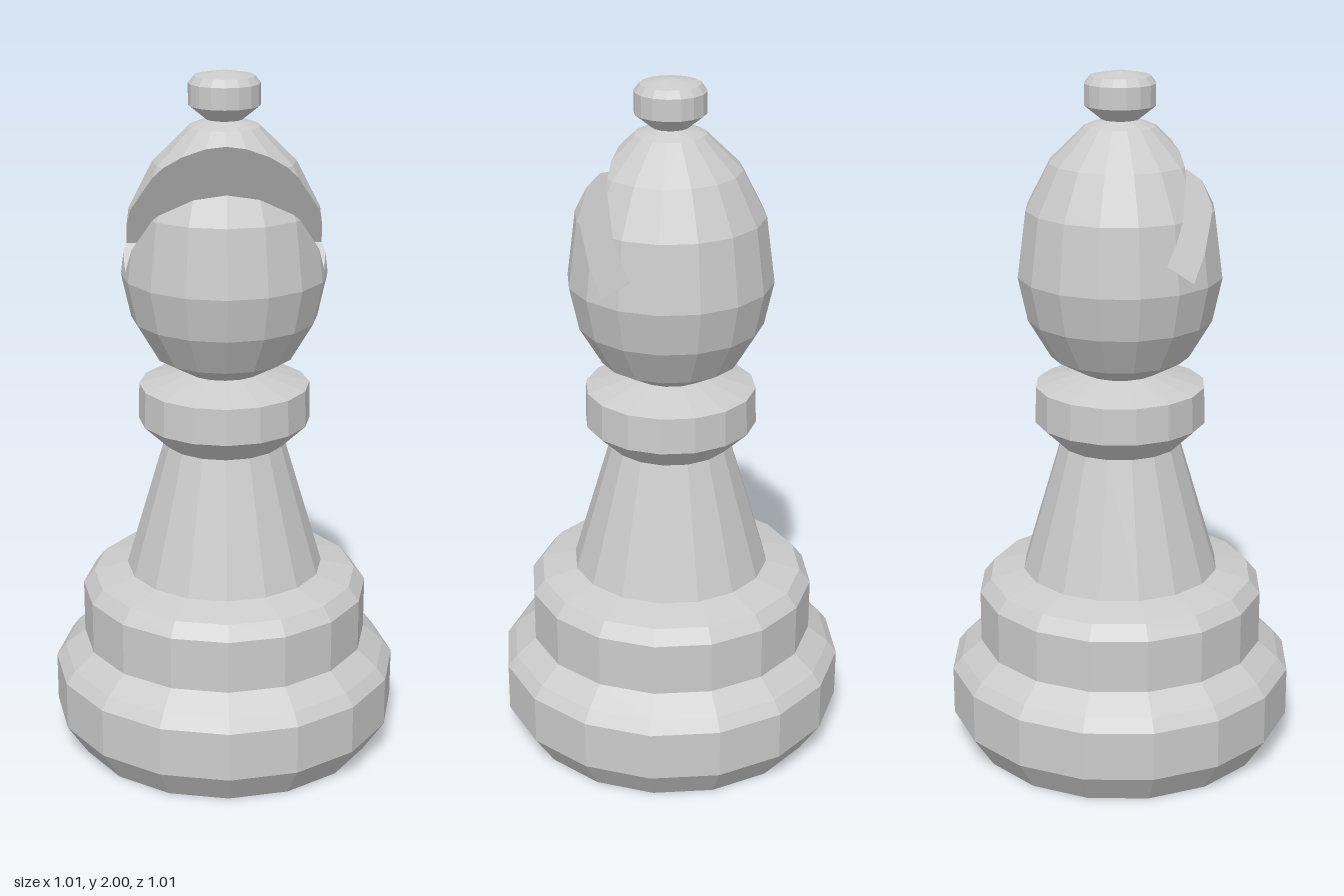
import * as THREE from 'three';

const SIDES = 16;
const material = new THREE.MeshStandardMaterial({ color: 0xcccccc, flatShading: true });

function addMesh(group, name, geometry) {
  const mesh = new THREE.Mesh(geometry, material);
  mesh.name = name;
  group.add(mesh);
}

// Turned part from [radius, height] pairs, bottom to top
function turned(profile) {
  return new THREE.LatheGeometry(profile.map(([r, y]) => new THREE.Vector2(r, y)), SIDES);
}

// Keep the part of a polygon in front of a plane
function clip(polygon, plane) {
  const out = [];
  polygon.forEach((a, i) => {
    const b = polygon[(i + 1) % polygon.length];
    const da = plane.distanceToPoint(a), db = plane.distanceToPoint(b);
    if (da >= 0) out.push(a);
    if ((da >= 0) !== (db >= 0)) out.push(a.clone().lerp(b, da / (da - db)));
  });
  return out;
}

function polygonsToGeometry(polygons) {
  const positions = [];
  for (const p of polygons) {
    for (let i = 1; i + 1 < p.length; i++) {
      for (const v of [p[0], p[i], p[i + 1]]) positions.push(v.x, v.y, v.z);
    }
  }
  const geometry = new THREE.BufferGeometry();
  geometry.setAttribute('position', new THREE.Float32BufferAttribute(positions, 3));
  geometry.computeVertexNormals();
  return geometry;
}

// Egg-shaped head with a slanted slot cut across its front
function slottedHead(profile) {
  const point = ([r, y], i) => {
    const a = (i / SIDES) * Math.PI * 2;
    return new THREE.Vector3(r * Math.sin(a), y, r * Math.cos(a));
  };
  const faces = [];
  for (let k = 0; k + 1 < profile.length; k++) {
    for (let i = 0; i < SIDES; i++) {
      faces.push([point(profile[k], i), point(profile[k], i + 1),
        point(profile[k + 1], i + 1), point(profile[k + 1], i)]);
    }
  }
  const inside = faces.map(([a, b, c]) => new THREE.Plane().setFromCoplanarPoints(a, b, c).negate());

  // Slot outline in [z, y]: down the front wall, across the floor, up the back wall
  const outline = [[0.376, 1.93], [0.058, 1.45], [-0.03, 1.51], [0.284, 2.09]];
  const walls = [], solidSides = [];
  for (let i = 0; i < 3; i++) {
    const [z0, y0] = outline[i], [z1, y1] = outline[i + 1];
    const quad = [[-0.5, y0, z0], [0.5, y0, z0], [0.5, y1, z1], [-0.5, y1, z1]]
      .map((p) => new THREE.Vector3(...p));
    solidSides.push(new THREE.Plane().setFromCoplanarPoints(quad[0], quad[1], quad[2]).negate());
    walls.push(inside.reduce(clip, quad));
  }

  // Outer skin: everything that lies behind at least one slot wall
  const skin = [];
  for (const face of faces) {
    let rest = face;
    for (const side of solidSides) {
      skin.push(clip(rest, side));
      rest = clip(rest, side.clone().negate());
    }
  }
  return polygonsToGeometry([...skin, ...walls]);
}

export function createModel() {
  const model = new THREE.Group();
  model.name = 'bishop';

  addMesh(model, 'base', turned([
    [0, 0], [0.445, 0], [0.507, 0.095], [0.507, 0.24], [0.48, 0.275], [0.42, 0.325],
    [0.42, 0.48], [0.388, 0.52], [0.285, 0.545],
  ]));
  addMesh(model, 'stem', turned([[0.288, 0.545], [0.175, 0.93]]));
  addMesh(model, 'collar', turned([
    [0.175, 0.93], [0.248, 1.0], [0.245, 1.105], [0.11, 1.145],
  ]));
  addMesh(model, 'head', slottedHead([
    [0.11, 1.145], [0.2, 1.195], [0.265, 1.305], [0.292, 1.43],
    [0.267, 1.62], [0.2, 1.75], [0.1, 1.848], [0.05, 1.867],
  ]));
  addMesh(model, 'finial', turned([
    [0.05, 1.865], [0.1, 1.905], [0.1, 1.965], [0.084, 1.985], [0, 2.0],
  ]));
  return model;
}
